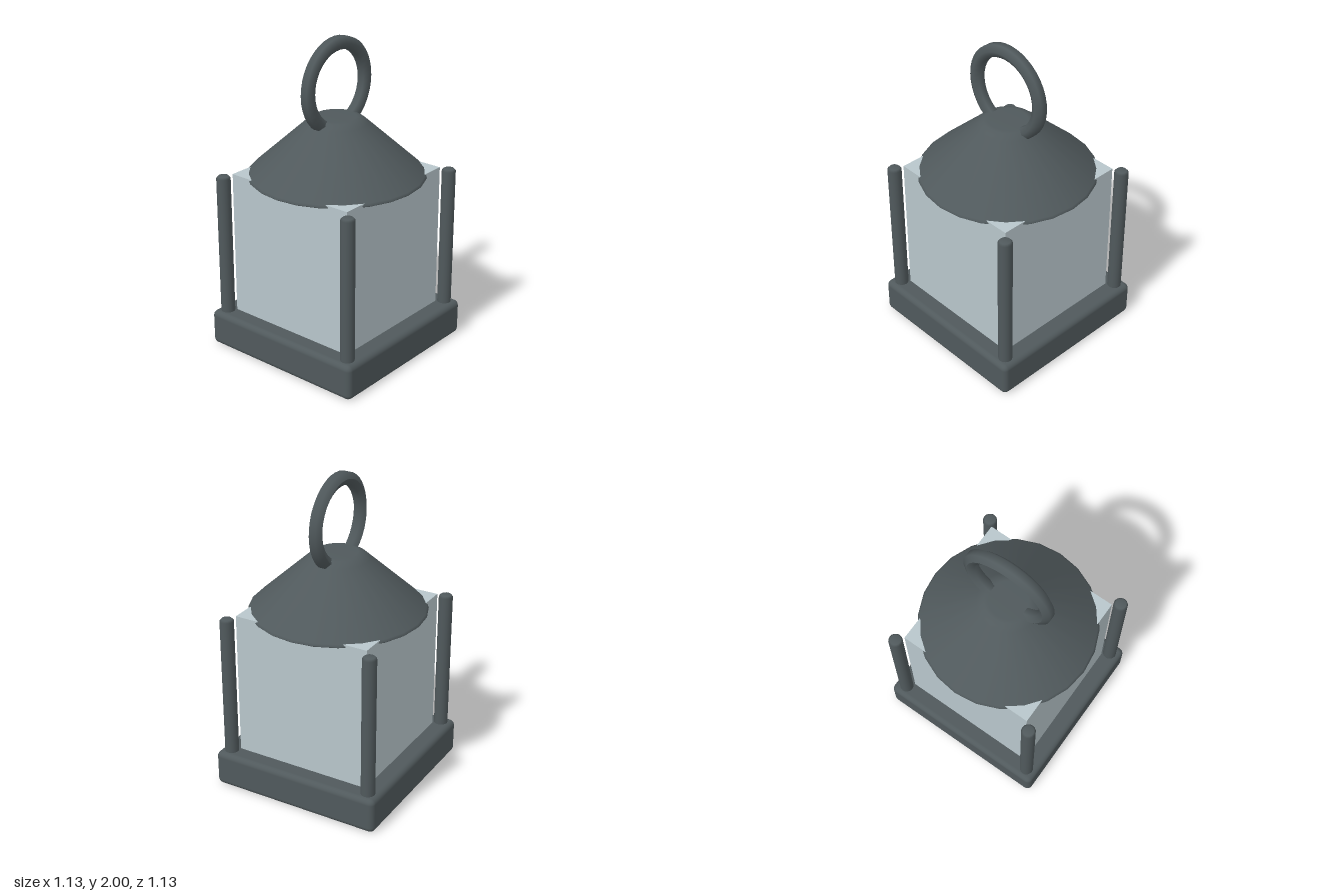
import * as THREE from 'three';
import { RoundedBoxGeometry } from 'three/addons/geometries/RoundedBoxGeometry.js';

export function createModel() {
  const lantern = new THREE.Group();
  lantern.name = 'lantern';

  const metal = new THREE.MeshStandardMaterial({ color: 0x50595c });
  metal.name = 'dark metal';
  const glass = new THREE.MeshStandardMaterial({ color: 0xb8c6cb });
  glass.name = 'pale glass';

  const add = (name, geometry, material, x = 0, y = 0, z = 0) => {
    const mesh = new THREE.Mesh(geometry, material);
    mesh.name = name;
    mesh.position.set(x, y, z);
    lantern.add(mesh);
    return mesh;
  };
  const lathe = (points, segments) =>
    new THREE.LatheGeometry(points.map(([r, y]) => new THREE.Vector2(r, y)), segments);

  // Square base with softened edges
  add('base', new RoundedBoxGeometry(1.13, 0.23, 1.13, 3, 0.035), metal, 0, 0.115, 0);

  // Glass body, its corners reaching past the round roof
  add('glassBody', new THREE.BoxGeometry(0.9, 0.935, 0.9), glass, 0, 0.6875, 0);

  // Corner posts with slightly rounded tops
  const postGeometry = lathe([[0.044, 0.2], [0.044, 1.132], [0.033, 1.145], [0, 1.145]], 16);
  for (const x of [-1, 1]) {
    for (const z of [-1, 1]) {
      const name = (z > 0 ? 'front' : 'back') + (x > 0 ? 'Left' : 'Right') + 'Post';
      add(name, postGeometry, metal, x * 0.49, 0, z * 0.49);
    }
  }

  // Conical roof with a rounded shoulder, closed underneath
  add('roof', lathe([
    [0.545, 1.135], [0.552, 1.142], [0.54, 1.154], [0.19, 1.473],
    [0.17, 1.49], [0.145, 1.504], [0.12, 1.51], [0, 1.51],
  ], 24), metal);
  const underside = add('roofUnderside', new THREE.CircleGeometry(0.545, 24), metal, 0, 1.135, 0);
  underside.rotation.x = Math.PI / 2;

  // Carrying ring with a six-sided section, flat on its outer rim
  const section = [];
  for (let i = 0; i <= 6; i++) {
    const a = -Math.PI / 2 + (i * Math.PI) / 3;
    section.push([0.262 + 0.0445 * Math.cos(a), 0.0445 * Math.sin(a)]);
  }
  const ring = add('carryingRing', lathe(section, 40), metal, 0, 1.7, 0);
  ring.rotation.x = Math.PI / 2;

  return lantern;
}
